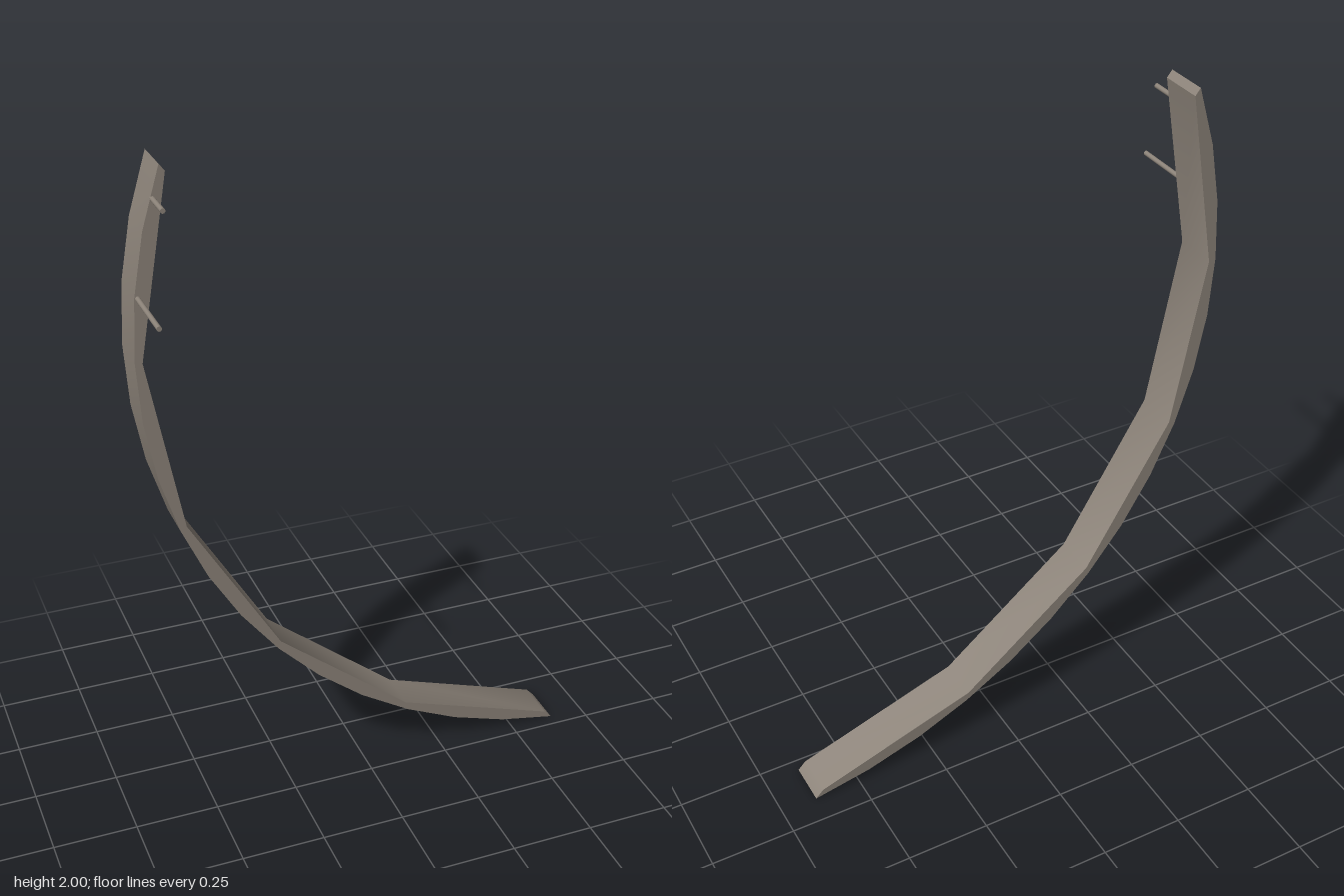
import * as THREE from 'three';
import { toCreasedNormals } from 'three/addons/utils/BufferGeometryUtils.js';

const CENTRE = new THREE.Vector2(0.842, 1.4735);

// Points along an arc, angles in degrees below the -x axis
function arc(radius, from, to, segments) {
  return Array.from({ length: segments + 1 }, (_, i) => {
    const a = THREE.MathUtils.degToRad(from + ((to - from) * i) / segments);
    return new THREE.Vector2(CENTRE.x - radius * Math.cos(a), CENTRE.y - radius * Math.sin(a));
  });
}

export function createModel() {
  const group = new THREE.Group();
  group.name = 'curvedBand';
  const material = new THREE.MeshStandardMaterial({ color: 0x8c8379 });

  // Band: finely curved outside, five coarse facets inside
  const outer = arc(1.488, -20.7, 82.25, 15);
  const inner = arc(1.467, -20.2, 81.2, 5);
  const shape = new THREE.Shape([...outer, ...inner.reverse()]);
  const bandGeometry = new THREE.ExtrudeGeometry(shape, { depth: 0.13, bevelEnabled: false });
  bandGeometry.translate(0, 0, -0.168);
  const band = new THREE.Mesh(toCreasedNormals(bandGeometry, 0.6), material);
  band.name = 'band';
  group.add(band);

  // Pegs standing out of the front edge
  const pegs = [
    ['upperPeg', -0.571, 1.912, 0.058],
    ['lowerPeg', -0.626, 1.653, 0.168],
  ];
  for (const [name, x, y, tip] of pegs) {
    const root = -0.045;
    const geometry = new THREE.CylinderGeometry(0.007, 0.007, tip - root, 12);
    geometry.rotateX(Math.PI / 2);
    const peg = new THREE.Mesh(geometry, material);
    peg.position.set(x, y, (tip + root) / 2);
    peg.name = name;
    group.add(peg);
  }
  return group;
}
